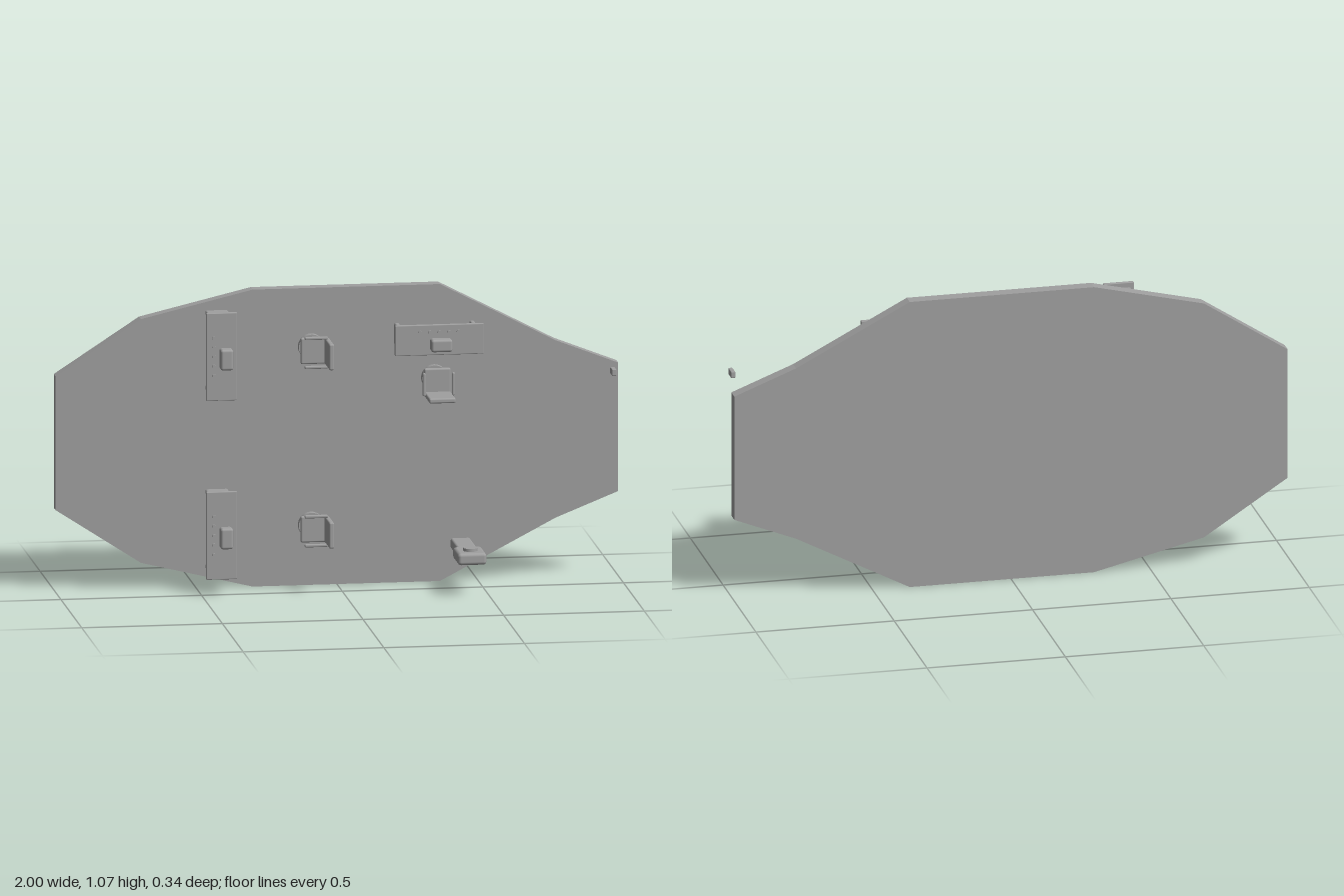
import * as THREE from 'three';
import { RoundedBoxGeometry } from 'three/addons/geometries/RoundedBoxGeometry.js';

const grey = new THREE.MeshStandardMaterial({ color: 0xa0a0a0 });
grey.name = 'grey';

function add(parent, name, geometry, x, y, z) {
  const mesh = new THREE.Mesh(geometry, grey);
  mesh.name = name;
  mesh.position.set(x, y, z);
  parent.add(mesh);
  return mesh;
}
const box = (w, h, d, r = 0.004) => new RoundedBoxGeometry(w, h, d, 2, r);
// Cylinder lying along z
const disc = (r, d, n = 32) => new THREE.CylinderGeometry(r, r, d, n).rotateX(Math.PI / 2);

function place(group, name, x, y, turn) {
  group.name = name;
  group.position.set(x, y, 0);
  group.rotation.z = turn;
  return group;
}

// Upright face plate on two standoff arms, with a knob and a row of studs
function makePanel() {
  const g = new THREE.Group();
  add(g, 'facePlate', box(0.109, 0.315, 0.014, 0.003), 0, 0, -0.001);
  for (const s of [-1, 1]) add(g, 'standoffArm', box(0.08, 0.017, 0.114, 0.006), 0, s * 0.134, -0.068);
  add(g, 'knobNeck', box(0.026, 0.045, 0.026), 0.01, 0, 0.015);
  add(g, 'knob', box(0.045, 0.075, 0.046, 0.009), 0.01, 0, 0.048);
  for (let i = -2; i <= 2; i++) add(g, 'stud', disc(0.007, 0.008, 16), -0.028, i * 0.034, 0.009);
  return g;
}

// Round wall mount with a stem, back plate, shelf and two side rods
function makeHook() {
  const g = new THREE.Group();
  add(g, 'mountDisc', disc(0.046, 0.024), 0, 0, -0.114);
  add(g, 'stem', disc(0.015, 0.05, 24), 0, 0, -0.079);
  add(g, 'backPlate', box(0.094, 0.096, 0.018, 0.006), 0, 0, -0.047);
  add(g, 'shelf', box(0.094, 0.018, 0.126, 0.006), 0, -0.044, 0.02);
  for (const s of [-1, 1]) add(g, 'sideRod', box(0.011, 0.082, 0.012), s * 0.052, -0.002, -0.008);
  return g;
}

export function createModel() {
  const model = new THREE.Group();
  model.name = 'wallBoard';

  // Twelve-sided backboard
  const outline = [
    [-1, 0.295], [-0.697, 0.097], [-0.3, 0], [0.366, 0], [0.777, 0.215], [1, 0.304],
    [1, 0.765], [0.777, 0.852], [0.366, 1.066], [-0.3, 1.066], [-0.697, 0.972], [-1, 0.775],
  ].map(([x, y]) => new THREE.Vector2(x, y));
  const board = new THREE.ExtrudeGeometry(new THREE.Shape(outline), { depth: 0.046, bevelEnabled: false });
  add(model, 'backboard', board, 0, 0, -0.172);

  // Control panels and hooks
  model.add(
    place(makePanel(), 'upperPanel', -0.429, 0.855, 0),
    place(makePanel(), 'lowerPanel', -0.429, 0.213, 0),
    place(makePanel(), 'sidewaysPanel', 0.345, 0.893, -Math.PI / 2),
    place(makeHook(), 'upperHook', -0.093, 0.857, Math.PI / 2),
    place(makeHook(), 'lowerHook', -0.093, 0.217, Math.PI / 2),
    place(makeHook(), 'shelfHook', 0.345, 0.733, 0),
  );

  // Lever reaching forward, with a flat head and a round button
  const lever = new THREE.Group();
  lever.name = 'lever';
  model.add(lever);
  add(lever, 'leverArm', box(0.07, 0.038, 0.168, 0.008), 0.438, 0.135, -0.042);
  add(lever, 'leverHead', box(0.102, 0.043, 0.132, 0.012), 0.438, 0.135, 0.106);
  add(lever, 'leverButton', new THREE.CylinderGeometry(0.025, 0.025, 0.016, 32), 0.438, 0.159, 0.118);

  // Small loose tab
  add(model, 'tab', box(0.016, 0.024, 0.046, 0.003), 0.956, 0.771, 0.053);
  return model;
}
